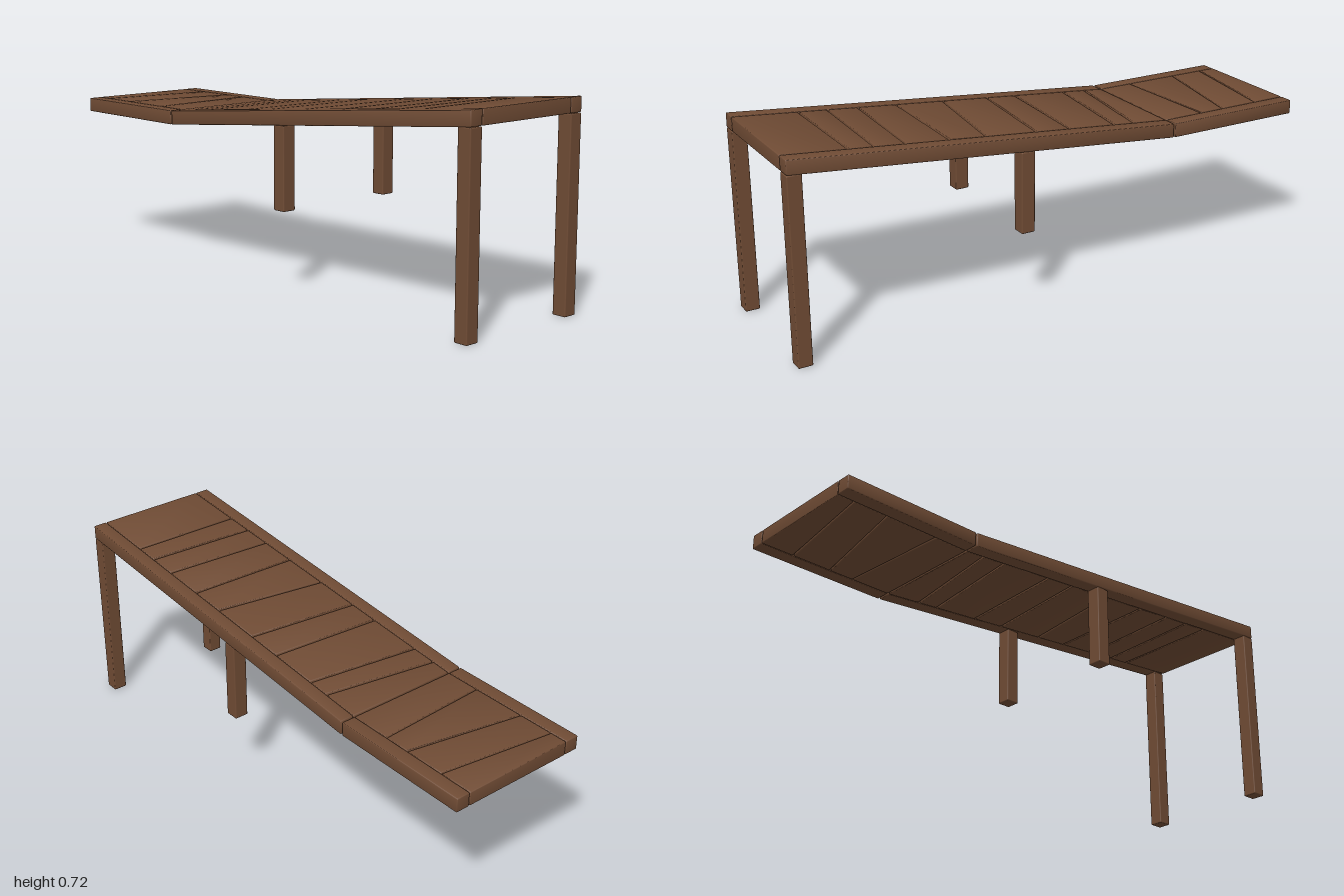
import * as THREE from 'three';
import { RoundedBoxGeometry } from 'three/addons/geometries/RoundedBoxGeometry.js';
import { toCreasedNormals } from 'three/addons/utils/BufferGeometryUtils.js';

const THICK = 0.052;
const BREAK = -0.467; // where the slope meets the level end
const LOW = 0.577;
const HIGH = 0.719;

// height of the upper surface along the bench
const topAt = (z) => (z <= BREAK ? LOW : LOW + ((HIGH - LOW) * (z - BREAK)) / (1 - BREAK));

export function createModel() {
  const group = new THREE.Group();
  group.name = 'slopingBench';
  const wood = new THREE.MeshStandardMaterial({ color: 0x6f4b34 });
  wood.name = 'brown wood';

  function add(name, geometry) {
    const mesh = new THREE.Mesh(geometry, wood);
    mesh.name = name;
    group.add(mesh);
    return mesh;
  }

  // board lying on the seat line; back and front edges are [z at -x, z at +x]
  function board(name, x0, x1, back, front) {
    const w = x1 - x0;
    const len = (front[0] + front[1] - back[0] - back[1]) / 2;
    const geo = new RoundedBoxGeometry(w, THICK, len, 2, 0.004);
    const p = geo.attributes.position;
    const sloped = back[0] + front[0] > 2 * BREAK;
    for (let i = 0; i < p.count; i++) {
      const u = p.getX(i) / w + 0.5;
      const v = p.getZ(i) / len + 0.5;
      const b = THREE.MathUtils.lerp(back[0], back[1], u);
      const f = THREE.MathUtils.lerp(front[0], front[1], u);
      const z = THREE.MathUtils.lerp(b, f, v);
      const top = sloped ? topAt(Math.max(z, BREAK)) : LOW;
      p.setXYZ(i, x0 + u * w, top - THICK / 2 + p.getY(i), z);
    }
    add(name, toCreasedNormals(geo, 0.6));
  }

  // slats separated by slanted seams
  function slats(name, seams, gap) {
    for (let i = 0; i < seams.length - 1; i++) {
      const first = i === 0 ? 0 : gap / 2;
      const last = i === seams.length - 2 ? 0 : gap / 2;
      board(name + (i + 1), -0.2105, 0.2105,
        seams[i].map((z) => z + first), seams[i + 1].map((z) => z - last));
    }
  }
  slats('levelSlat', [
    [-1, -1], [-0.935, -0.873], [-0.803, -0.721], [-0.6, -0.624], [-0.47, -0.47],
  ], 0.004);
  slats('slopeSlat', [
    [-0.464, -0.464], [-0.39, -0.326], [-0.295, -0.243], [-0.085, -0.058], [0.034, 0.076],
    [0.213, 0.271], [0.398, 0.407], [0.544, 0.567], [0.657, 0.678], [0.764, 0.768], [1, 1],
  ], 0.007);

  // side rails and legs
  for (const [side, s] of [['left', 1], ['right', -1]]) {
    const x0 = s > 0 ? 0.2125 : -0.265;
    const x1 = x0 + 0.0525;
    board(side + 'LevelRail', x0, x1, [-1, -1], [-0.47, -0.47]);
    board(side + 'SlopeRail', x0, x1, [-0.464, -0.464], [1, 1]);
    for (const [name, z, y0, y1] of [['FrontLeg', 0.974, 0, 0.665], ['MiddleLeg', 0.139, 0.288, 0.584]]) {
      const leg = add(side + name, new RoundedBoxGeometry(0.0525, y1 - y0, 0.052, 2, 0.004));
      leg.position.set((x0 + x1) / 2, (y0 + y1) / 2, z);
    }
  }
  return group;
}
